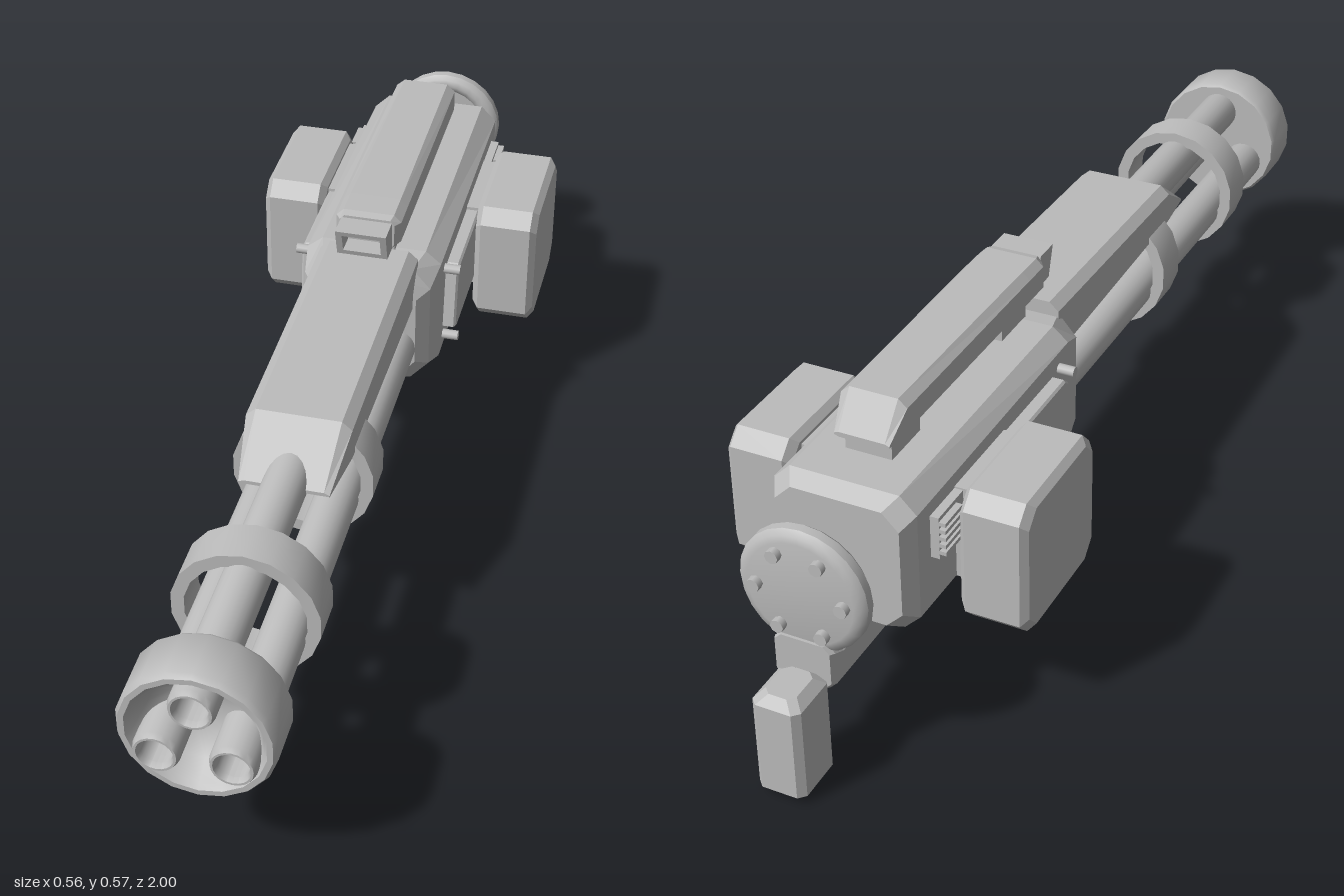
import * as THREE from 'three';
import { toCreasedNormals } from 'three/addons/utils/BufferGeometryUtils.js';

const AXIS_Y = 0.328; // height of the barrel axis

// Octagonal cross-section, counter-clockwise seen from +z
function octagon(z, hw, y0, y1, cx, cy) {
  return [[hw - cx, y0], [hw, y0 + cy], [hw, y1 - cy], [hw - cx, y1],
    [cx - hw, y1], [-hw, y1 - cy], [-hw, y0 + cy], [cx - hw, y0]].map(([x, y]) => new THREE.Vector3(x, y, z));
}

// Faceted solid through cross-sections listed with rising z
function loft(sections) {
  const tri = [];
  const n = sections[0].length;
  for (let i = 0; i < sections.length - 1; i++) {
    for (let j = 0; j < n; j++) {
      const k = (j + 1) % n, a = sections[i], b = sections[i + 1];
      tri.push(a[j], a[k], b[k], a[j], b[k], b[j]);
    }
  }
  const back = sections[0], front = sections[sections.length - 1];
  for (let j = 1; j < n - 1; j++) {
    tri.push(back[0], back[j + 1], back[j], front[0], front[j], front[j + 1]);
  }
  const g = new THREE.BufferGeometry().setFromPoints(tri);
  g.computeVertexNormals();
  return g;
}

// Box along z with all edges chamfered
function chamferBox(w, h, d, c, endC = c) {
  const s = (z, k) => octagon(z, w / 2 - k, -h / 2 + k, h / 2 - k, c, c);
  return loft([s(-d / 2, endC), s(-d / 2 + endC, 0), s(d / 2 - endC, 0), s(d / 2, endC)]);
}

// Turned part whose axis is z; points are [radius, z]
function turned(points, segments) {
  const g = new THREE.LatheGeometry(points.map(([r, z]) => new THREE.Vector2(r, z)), segments);
  g.rotateX(Math.PI / 2);
  return toCreasedNormals(g, 0.7);
}

export function createModel() {
  const group = new THREE.Group();
  const metal = new THREE.MeshStandardMaterial({ color: 0xbcbcbc });
  metal.name = 'grey metal';
  const add = (name, geometry, x = 0, y = 0, z = 0, parent = group) => {
    const m = new THREE.Mesh(geometry, metal);
    m.name = name;
    m.position.set(x, y, z);
    parent.add(m);
    return m;
  };

  // Three hollow barrels around the axis
  const barrelGeo = turned([[0, 0.88], [0.027, 0.88], [0.027, 0.99], [0.031, 1], [0.035, 1], [0.039, 0.99], [0.039, -0.15]].reverse(), 20);
  for (let i = 0; i < 3; i++) {
    const a = Math.PI / 2 + i * Math.PI * 2 / 3;
    add('barrel', barrelGeo, 0.071 * Math.cos(a), AXIS_Y + 0.071 * Math.sin(a));
  }

  // Dished muzzle and two clamp rings
  add('muzzle', turned([[0, 0.885], [0.126, 0.885], [0.131, 0.892], [0.131, 0.975], [0.125, 0.985],
    [0.115, 0.985], [0.108, 0.975], [0.09, 0.94], [0.06, 0.915], [0, 0.905]], 18), 0, AXIS_Y);
  for (const z of [0.63, 0.268]) {
    add('barrelClamp', turned([[0.105, 0], [0.128, 0], [0.128, 0.078], [0.105, 0.078], [0.105, 0]], 18), 0, AXIS_Y, z);
  }

  // Main housing
  add('housing', loft([
    octagon(-0.78, 0.112, 0.222, 0.445, 0.03, 0.03),
    octagon(-0.75, 0.129, 0.203, 0.463, 0.03, 0.03),
    octagon(-0.19, 0.131, 0.2, 0.465, 0.03, 0.025),
    octagon(-0.135, 0.122, 0.205, 0.458, 0.035, 0.04),
    octagon(-0.11, 0.1, 0.222, 0.445, 0.03, 0.04),
  ]));

  // Long sloped shroud over the barrels
  const shroudSection = (z, hw, y0, y1, cx, cy) => [[hw, y0], [hw, y1 - cy], [hw - cx, y1],
    [cx - hw, y1], [-hw, y1 - cy], [-hw, y0]].map(([x, y]) => new THREE.Vector3(x, y, z));
  add('barrelShroud', loft([
    shroudSection(-0.15, 0.094, 0.385, 0.487, 0.018, 0.016),
    shroudSection(0.365, 0.094, 0.402, 0.477, 0.018, 0.016),
    shroudSection(0.468, 0.08, 0.396, 0.403, 0.01, 0.004),
  ]));

  // Top rail with mounts and an open hood in front
  add('topRail', loft([
    octagon(-0.69, 0.05, 0.497, 0.506, 0.008, 0.003),
    octagon(-0.645, 0.06, 0.497, 0.566, 0.016, 0.014),
    octagon(-0.2, 0.062, 0.497, 0.567, 0.014, 0.014),
    octagon(-0.145, 0.062, 0.497, 0.566, 0.014, 0.014),
    octagon(-0.13, 0.052, 0.5, 0.562, 0.008, 0.01),
  ]));
  const rectangle = (Type, hw, y0, y1) => new Type([[-hw, y0], [hw, y0], [hw, y1], [-hw, y1]].map(p => new THREE.Vector2(...p)));
  const hoodShape = rectangle(THREE.Shape, 0.048, 0.502, 0.56);
  hoodShape.holes.push(rectangle(THREE.Path, 0.036, 0.512, 0.55));
  const hood = new THREE.ExtrudeGeometry(hoodShape, { depth: 0.05, bevelEnabled: false });
  const hp = hood.attributes.position;
  for (let i = 0; i < hp.count; i++) hp.setZ(i, hp.getZ(i) + (hp.getY(i) - 0.502) * 0.3);
  hood.computeVertexNormals();
  add('railHood', hood, 0, 0, -0.143);
  for (const z of [-0.225, -0.622]) add('railMount', new THREE.BoxGeometry(0.085, 0.05, 0.095), 0, 0.483, z);

  // Equipment on both flanks
  const boxGeo = chamferBox(0.27, 0.256, 0.123, 0.028, 0.012);
  boxGeo.rotateY(Math.PI / 2);
  const panelShape = new THREE.Shape([[-0.228, 0.275], [-0.238, 0.27], [-0.6, 0.27], [-0.6, 0.4], [-0.255, 0.4], [-0.242, 0.39]]
    .map(([z, y]) => new THREE.Vector2(-z, y)));
  const panelGeo = new THREE.ExtrudeGeometry(panelShape, { depth: 0.03, bevelSize: 0.004, bevelThickness: 0.004, bevelSegments: 1 });
  panelGeo.rotateY(Math.PI / 2);
  const boltGeo = new THREE.CylinderGeometry(0.01, 0.01, 0.05, 10);
  boltGeo.rotateZ(Math.PI / 2);
  for (const side of [1, -1]) {
    const flank = new THREE.Group();
    flank.name = side > 0 ? 'leftFlank' : 'rightFlank';
    // Everything here is symmetric front to back about its own plane
    add('sideBox', boxGeo, side * 0.2165, 0.3, -0.535, flank);
    add('boxBracket', new THREE.BoxGeometry(0.05, 0.18, 0.18), side * 0.14, 0.32, -0.535, flank);
    add('sidePanel', panelGeo, side > 0 ? 0.122 : -0.152, 0, 0, flank);
    for (const y of [0.407, 0.252]) add('bolt', boltGeo, side * 0.137, y, -0.227, flank);
    add('ventBack', new THREE.BoxGeometry(0.03, 0.08, 0.1), side * 0.13, 0.367, -0.66, flank);
    for (let i = 0; i < 5; i++) {
      add('ventSlat', new THREE.BoxGeometry(0.014, 0.007, 0.06), side * 0.15, 0.34 + i * 0.014, -0.68, flank);
    }
    group.add(flank);
  }

  // Rear arm carrying the grip
  add('rearArm', loft([
    octagon(-0.905, 0.05, 0.172, 0.255, 0.012, 0.012),
    octagon(-0.895, 0.055, 0.167, 0.255, 0.014, 0.014),
    octagon(-0.87, 0.055, 0.167, 0.243, 0.014, 0.014),
    octagon(-0.725, 0.055, 0.167, 0.24, 0.014, 0.014),
    octagon(-0.7, 0.05, 0.225, 0.24, 0.01, 0.004),
  ]));
  const gripGeo = chamferBox(0.088, 0.104, 0.203, 0.012, 0.016);
  gripGeo.rotateX(Math.PI / 2);
  add('grip', gripGeo, 0, 0.1015, -0.948);

  // Rounded rear disc with a ring of bolts
  add('rearDisc', turned([[0, -0.9], [0.095, -0.9], [0.107, -0.897], [0.115, -0.888], [0.115, -0.872],
    [0.107, -0.863], [0.095, -0.86], [0.082, -0.866], [0.075, -0.88], [0, -0.88]], 24), 0, 0.343);
  const discBolt = new THREE.CylinderGeometry(0.012, 0.012, 0.02, 8);
  discBolt.rotateX(Math.PI / 2);
  for (let i = 0; i < 6; i++) {
    const a = i * Math.PI / 3;
    add('discBolt', discBolt, 0.078 * Math.cos(a), 0.343 + 0.078 * Math.sin(a), -0.903);
  }

  return group;
}
